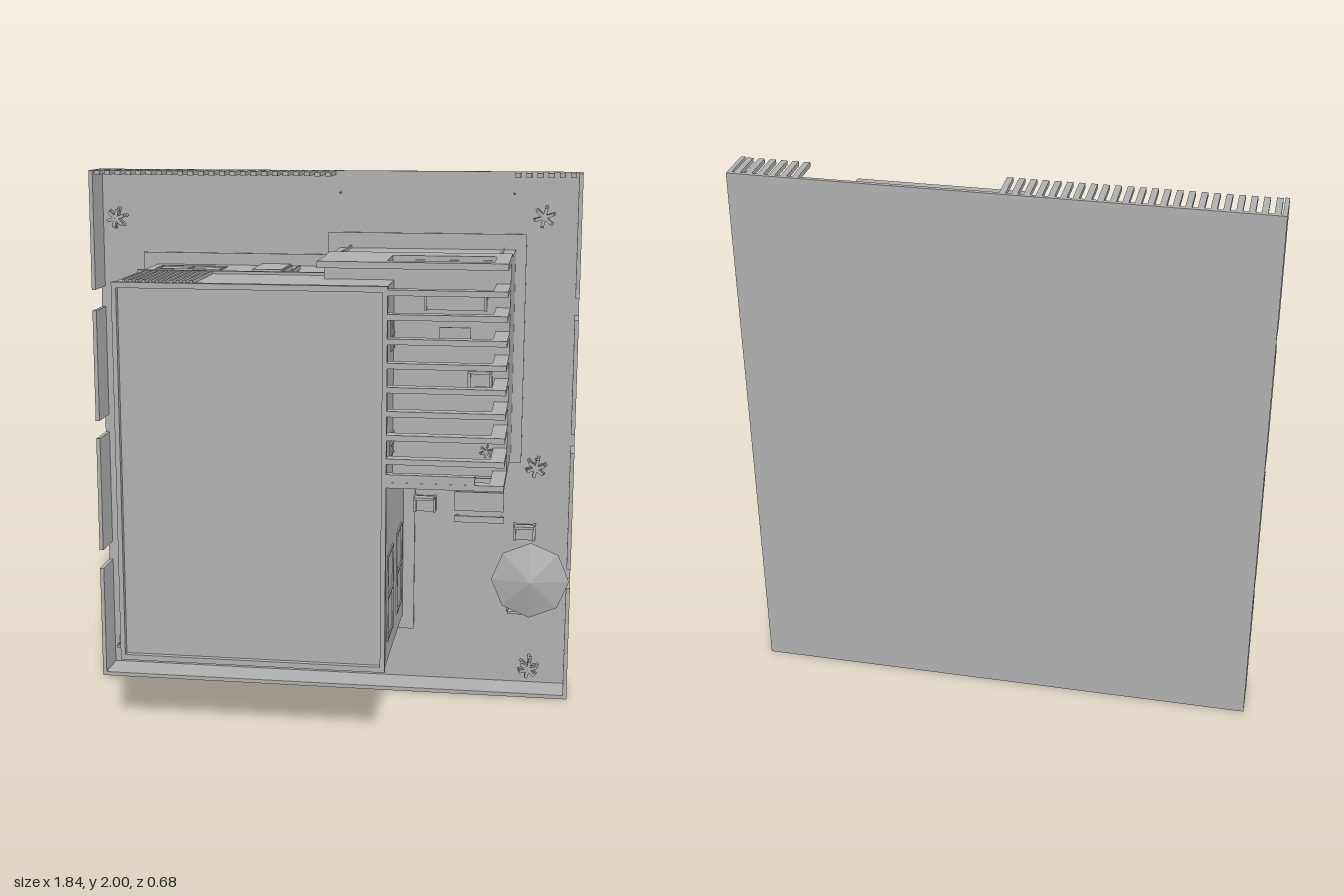
import * as THREE from 'three';

// House lying on its back: the plan is in x and y, the height of the house runs along z.
export function createModel() {
  const root = new THREE.Group();
  const grey = new THREE.MeshStandardMaterial({ color: 0xb0b0b0 });
  grey.name = 'plain grey';

  const add = (name, geo, parent = root) => {
    const m = new THREE.Mesh(geo, grey);
    m.name = name;
    parent.add(m);
    return m;
  };
  const box = (name, x0, x1, y0, y1, z0, z1, parent = root) => {
    const m = add(name, new THREE.BoxGeometry(x1 - x0, y1 - y0, z1 - z0), parent);
    m.position.set((x0 + x1) / 2, (y0 + y1) / 2, (z0 + z1) / 2);
    return m;
  };
  const group = (name, x = 0, y = 0, z = 0, parent = root) => {
    const g = new THREE.Group();
    g.name = name;
    g.position.set(x, y, z);
    parent.add(g);
    return g;
  };
  const poly = (pts) => new THREE.Shape(pts.map(([x, y]) => new THREE.Vector2(x, y)));
  const slab = (name, shape, z0, z1) => {
    const m = add(name, new THREE.ExtrudeGeometry(shape, { depth: z1 - z0, bevelEnabled: false }));
    m.position.z = z0;
    return m;
  };

  const G = -0.325; // ground level

  // Plot and its boundary walls
  box('ground', -0.92, 0.92, 0, 2, -0.34, G);
  box('rearWall', -0.92, 0.92, 0, 0.015, G, -0.19);
  const spans = [[0.015, 0.445], [0.52, 0.97], [1.04, 1.47], [1.55, 2]];
  for (const s of [-1, 1]) for (const [a, b] of spans) {
    const x = s * 0.9125;
    box('sideWall', x - 0.0075, x + 0.0075, a, b, G, -0.19);
  }
  // Picket fence either side of the gate
  for (const [a, b] of [[-0.9, 0.02], [0.675, 0.91]]) {
    for (let x = a; x < b - 0.01; x += 0.04) box('fencePicket', x, x + 0.021, 1.984, 2, G, -0.195);
  }
  for (const x of [0.02, 0.67]) box('gateLamp', x - 0.003, x + 0.003, 1.915, 1.921, G, -0.3);

  // Paved strip round the house
  slab('paving', poly([[-0.745, 0.215], [0.315, 0.215], [0.315, 0.9], [0.72, 0.9],
    [0.72, 1.77], [-0.025, 1.77], [-0.025, 1.685], [-0.745, 1.685]]), G, -0.315);

  // Main block with a roof parapet
  box('mainBlock', -0.69, 0.27, 0.27, 1.64, G, 0.322);
  const rim = poly([[-0.693, 0.265], [0.273, 0.265], [0.273, 1.643], [-0.693, 1.643]]);
  rim.holes.push(new THREE.Path([[-0.676, 0.285], [-0.676, 1.623], [0.256, 1.623], [0.256, 0.285]]
    .map(([x, y]) => new THREE.Vector2(x, y))));
  slab('parapet', rim, 0.318, 0.343);
  box('floorLedge', -0.69, 0.02, 1.64, 1.65, -0.02, 0);

  // Lower wing with terrace on its roof
  box('lowerWing', 0.02, 0.68, 0.94, 1.712, G, 0.105);
  for (let i = 0; i < 11; i++) {
    const x = -0.655 + i * 0.024;
    box('facadeRib', x, x + 0.01, 1.64, 1.652, 0.005, 0.335);
  }

  // Pergola: bent beams over the terrace
  for (let i = 0; i < 9; i++) {
    const y = 0.942 + i * 0.0838;
    box('pergolaBeam', 0.262, 0.68, y, y + 0.02, 0.295, 0.343);
    box('pergolaPost', 0.63, 0.68, y, y + 0.02, 0.1, 0.295);
  }
  box('pergolaBracket', 0.27, 0.58, 0.955, 0.99, 0.31, 0.342);

  // Front frame plate with an opening
  const yA = 1.703, yB = 1.726;
  box('frameTop', 0.03, 0.68, yA, yB, 0.292, 0.343);
  box('framePost', 0.63, 0.68, yA, yB, 0.1, 0.292);
  box('framePanel', 0.03, 0.265, yA, yB, 0.1, 0.292);
  box('frameBase', 0.025, 0.68, yA, yB, -0.02, 0.1);
  for (const x of [0.06, 0.635]) box('gatePost', x - 0.004, x + 0.004, 1.71, 1.722, -0.31, -0.07);

  // Windows: thin frames; u runs along the wall, z up it
  const windowOn = (axis, at, dir, u0, u1, z0, z1) => {
    const g = group('window');
    const a = Math.min(at, at + dir * 0.005), b = Math.max(at, at + dir * 0.005);
    const bar = (p, q, r, s) => (axis === 'x' ? box('windowFrame', a, b, p, q, r, s, g)
      : box('windowFrame', p, q, a, b, r, s, g));
    const t = 0.008, um = (u0 + u1) / 2;
    bar(u0, u1, z0, z0 + t);
    bar(u0, u1, z1 - t, z1);
    for (const u of [u0, um - t / 2, u1 - t]) bar(u, u + t, z0, z1);
  };
  for (const [z0, z1] of [[-0.24, -0.07], [0.07, 0.25]]) {
    for (const [a, b] of [[0.3, 0.68], [0.75, 1], [1.08, 1.26], [1.33, 1.52]]) windowOn('x', -0.69, -1, a, b, z0, z1);
    for (const x of [-0.62, -0.39, -0.16, 0.06]) windowOn('y', 0.27, -1, x, x + 0.16, z0, z1);
    windowOn('x', 0.27, 1, 0.35, 0.67, z0, z1);
  }
  windowOn('x', 0.27, 1, 1.4, 1.51, 0.105, 0.21);
  windowOn('x', 0.27, 1, 1.02, 1.1, 0.105, 0.21);
  windowOn('y', 1.64, 1, -0.65, -0.4, -0.23, -0.11);
  box('frontDoor', -0.28, -0.17, 1.64, 1.648, -0.31, -0.1);
  for (const x of [-0.15, -0.12]) box('porchPost', x, x + 0.006, 1.64, 1.655, -0.2, -0.02);

  // Wall lamps
  for (const y of [0.77, 1.1, 1.54]) box('wallLamp', -0.702, -0.69, y - 0.005, y + 0.005, -0.095, -0.075);
  for (const x of [-0.66, -0.16, 0.12]) box('wallLamp', x - 0.005, x + 0.005, 0.258, 0.27, -0.09, -0.07);

  // Palms: trunk and tiers of narrow leaves
  const palm = (x, y, z, s) => {
    const g = group('palm', x, y, z);
    g.scale.setScalar(s);
    const trunk = add('palmTrunk', new THREE.CylinderGeometry(0.004, 0.006, 0.17, 6), g);
    trunk.rotation.x = Math.PI / 2;
    trunk.position.z = 0.085;
    for (let t = 0; t < 3; t++) for (let i = 0; i < 6; i++) {
      const leaf = group('palmLeaf', 0, 0, 0.13 + t * 0.02, g);
      leaf.rotation.z = (i / 6) * Math.PI * 2 + 0.3;
      const r = 0.042 - t * 0.004;
      box('leafBlade', 0.002, r, -0.006, 0.006, 0, 0.003, leaf);
    }
  };
  for (const [x, y] of [[-0.81, 1.825], [0.785, 1.845], [0.78, 0.915], [-0.815, 0.145], [0.77, 0.125]]) palm(x, y, G, 1);
  palm(0.61, 1.05, 0.105, 0.6);

  // Garden parasol with its table
  const parasol = group('parasol', 0.77, 0.5, 0);
  const canopyGeo = new THREE.ConeGeometry(0.145, 0.035, 8).toNonIndexed();
  canopyGeo.computeVertexNormals();
  const canopy = add('parasolCanopy', canopyGeo, parasol);
  canopy.rotation.x = Math.PI / 2;
  canopy.position.z = -0.074;
  const pole = add('parasolPole', new THREE.CylinderGeometry(0.004, 0.004, 0.24, 8), parasol);
  pole.rotation.x = Math.PI / 2;
  pole.position.z = -0.205;
  const table = add('roundTable', new THREE.CylinderGeometry(0.06, 0.06, 0.008, 16), parasol);
  table.rotation.x = Math.PI / 2;
  table.position.z = -0.265;

  // Armchairs; turn is the heading in plan
  const chair = (x, y, z, turn, w = 0.075) => {
    const g = group('armchair', x, y, z);
    g.rotation.z = turn;
    const h = w / 2;
    box('chairSeat', -h, h, -0.03, 0.03, 0.015, 0.03, g);
    box('chairBack', -h, h, 0.022, 0.032, 0.03, 0.07, g);
    for (const s of [-1, 1]) {
      box('chairArm', s * h - 0.005, s * h + 0.005, -0.03, 0.03, 0, 0.045, g);
    }
  };
  chair(0.74, 0.63, G, 0);
  chair(0.72, 0.345, G, Math.PI);
  chair(0.355, 0.73, G, 0);
  chair(0.49, 1.57, 0.105, 0, 0.21);
  chair(0.58, 1.3, 0.105, 0);

  // Low tables and benches
  const bench = (name, x0, x1, y0, y1, z, h) => {
    const g = group(name);
    box('benchTop', x0, x1, y0, y1, z + h - 0.008, z + h, g);
    for (const x of [x0 + 0.01, x1 - 0.01]) box('benchLeg', x - 0.005, x + 0.005, y0 + 0.003, y1 - 0.003, z, z + h - 0.008, g);
  };
  bench('bench', 0.47, 0.66, 0.815, 0.84, G, 0.035);
  bench('gardenTable', 0.47, 0.66, 0.715, 0.79, G, 0.06);
  bench('bench', 0.47, 0.66, 0.663, 0.688, G, 0.035);
  bench('terraceTable', 0.435, 0.545, 1.425, 1.48, 0.105, 0.035);

  return root;
}
